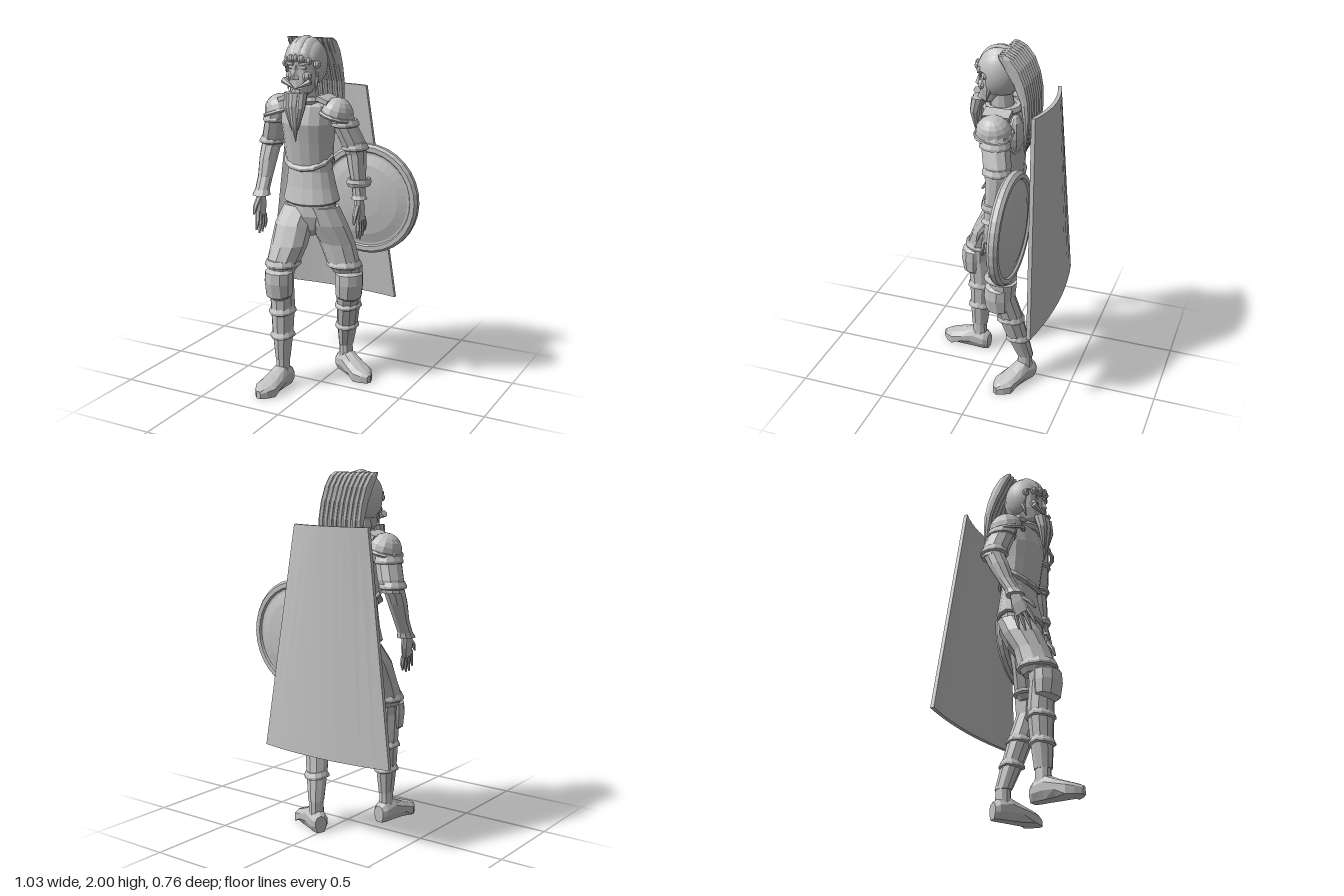
import * as THREE from 'three';

const grey = new THREE.MeshStandardMaterial({ color: 0xc0c0c0, flatShading: true });
grey.name = 'plain grey';
const CX = -0.1; // body centre line

// Solid from elliptical rings [x, y, z, rx, rz, dip], listed top to bottom
function loftGeo(rings, n = 12) {
  const pos = [], idx = [];
  for (const [x, y, z, rx, rz, dip = 0] of rings)
    for (let j = 0; j < n; j++) {
      const a = (j / n) * Math.PI * 2;
      pos.push(x + rx * Math.sin(a), y - dip * Math.abs(Math.cos(a)), z + rz * Math.cos(a));
    }
  const last = (rings.length - 1) * n, c = rings.length * n;
  for (const [x, y, z, , , dip = 0] of [rings[0], rings[rings.length - 1]]) pos.push(x, y - dip / 2, z);
  for (let j = 0; j < n; j++) {
    const k = (j + 1) % n;
    for (let i = 0; i < last; i += n)
      idx.push(i + j, i + n + j, i + n + k, i + j, i + n + k, i + k);
    idx.push(c, j, k, c + 1, last + k, last + j);
  }
  const g = new THREE.BufferGeometry();
  g.setAttribute('position', new THREE.Float32BufferAttribute(pos, 3));
  g.setIndex(idx);
  g.computeVertexNormals();
  return g;
}

export function createModel() {
  const model = new THREE.Group();
  const add = (name, geo, parent = model, p = [0, 0, 0], r = [0, 0, 0], s = [1, 1, 1]) => {
    const m = new THREE.Mesh(geo, grey);
    m.name = name;
    m.position.set(...p);
    m.rotation.set(...r);
    m.scale.set(...s);
    parent.add(m);
    return m;
  };
  const loft = (name, rings, n, parent) => add(name, loftGeo(rings, n), parent);
  // Flared band around a limb
  const band = (name, x, y, z, rx, rz, h = 0.03, dip = 0) => loft(name, [
    [x, y + h, z, rx - 0.012, rz - 0.012, dip], [x, y + 0.006, z, rx, rz, dip],
    [x, y - 0.006, z, rx, rz, dip], [x, y - 0.012, z, rx - 0.012, rz - 0.012, dip]], 12);

  // Torso
  loft('tunic', [[CX, 1.4, -0.05, 0.13, 0.1], [-0.095, 1.25, -0.055, 0.135, 0.09],
    [-0.09, 1.16, -0.055, 0.15, 0.105], [-0.085, 1.09, -0.05, 0.17, 0.12, 0.02],
    [-0.085, 1.08, -0.05, 0.16, 0.11, 0.02]], 16);
  loft('breastplate', [[CX, 1.67, -0.04, 0.09, 0.07], [CX, 1.62, -0.04, 0.16, 0.1],
    [CX, 1.52, -0.04, 0.158, 0.126], [CX, 1.42, -0.045, 0.148, 0.115], [CX, 1.34, -0.05, 0.143, 0.1, 0.06]], 16);
  band('breastplateRim', CX, 1.335, -0.05, 0.154, 0.112, 0.025, 0.07);
  loft('pelvis', [[-0.09, 1.12, -0.05, 0.145, 0.1], [-0.085, 1.0, -0.05, 0.155, 0.11],
    [-0.08, 0.92, -0.045, 0.09, 0.085], [-0.08, 0.88, -0.04, 0.04, 0.05]]);
  add('collar', new THREE.TorusGeometry(0.085, 0.025, 6, 14), model, [CX, 1.65, -0.03], [Math.PI / 2, 0, 0]);

  // Head and face
  loft('neck', [[CX, 1.76, -0.02, 0.06, 0.06], [CX, 1.62, -0.035, 0.07, 0.065]]);
  loft('head', [[CX, 1.95, -0.01, 0.07, 0.08], [CX, 1.88, -0.01, 0.093, 0.108], [CX, 1.82, -0.01, 0.092, 0.105],
    [CX, 1.76, 0.01, 0.082, 0.09], [CX, 1.7, 0.035, 0.058, 0.065], [CX, 1.68, 0.045, 0.035, 0.04]], 14);
  add('nose', new THREE.ConeGeometry(0.022, 0.085, 4), model, [CX, 1.81, 0.1], [-0.12, 0, 0]);
  for (const s of [-1, 1]) {
    add('brow', new THREE.BoxGeometry(0.055, 0.014, 0.02), model, [CX + s * 0.042, 1.855, 0.088], [0, s * 0.3, s * 0.1]);
    add('eye', new THREE.SphereGeometry(0.014, 8, 6), model, [CX + s * 0.04, 1.833, 0.083], [0, 0, 0], [1.3, 0.7, 0.6]);
    add('cheekbone', new THREE.SphereGeometry(0.028, 8, 6), model, [CX + s * 0.05, 1.785, 0.068]);
    add('ear', new THREE.SphereGeometry(0.03, 8, 6), model, [CX + s * 0.095, 1.82, -0.02], [0, 0, 0], [0.5, 1.2, 0.8]);
    add('sideburn', new THREE.ConeGeometry(0.025, 0.15, 6), model, [CX + s * 0.085, 1.765, 0.02], [Math.PI - 0.25, 0, 0]);
    add('moustache', new THREE.ConeGeometry(0.02, 0.1, 6), model, [CX + s * 0.04, 1.74, 0.1], [0, s * 0.3, s * (Math.PI / 2 + 0.45)]);
    loft('sideBeard', [[CX + s * 0.04, 1.7, 0.1, 0.028, 0.035], [CX + s * 0.038, 1.62, 0.118, 0.026, 0.028],
      [CX + s * 0.02, 1.52, 0.115, 0.01, 0.012], [CX + s * 0.016, 1.49, 0.113, 0.002, 0.002]], 8);
  }
  loft('lowerLip', [[CX, 1.718, 0.085, 0.03, 0.025], [CX, 1.69, 0.085, 0.04, 0.03]], 8);
  loft('centreBeard', [[CX, 1.7, 0.1, 0.036, 0.04], [CX, 1.63, 0.12, 0.032, 0.03],
    [CX, 1.52, 0.115, 0.02, 0.018], [CX, 1.43, 0.105, 0.002, 0.002]], 8);

  // Ribbed hair cap, ribs running front to back
  const cap = new THREE.SphereGeometry(1, 28, 30).rotateZ(Math.PI / 2);
  const cp = cap.attributes.position;
  for (let i = 0; i < cp.count; i++) {
    const x = cp.getX(i), k = 0.95 + 0.05 * Math.abs(Math.cos(x * Math.PI * 2.5));
    const z = cp.getZ(i) * k * 0.125 - 0.015;
    cp.setXYZ(i, x * 0.118, Math.max(cp.getY(i) * k * 0.148, z > 0.035 ? 0.018 : -0.11), z);
  }
  cap.computeVertexNormals();
  add('hairCap', cap, model, [CX, 1.852, 0]);
  for (let i = -3; i <= 3; i++)
    add('hairCurl', new THREE.SphereGeometry(0.021, 8, 6), model,
      [CX + i * 0.032, 1.885 - 0.004 * i * i, 0.105 - 0.0075 * i * i]);

  // Long swept-back locks
  for (let i = -4; i <= 4; i++) {
    const x = CX + i * 0.031, w = 0.0185;
    loft('hairLock', [[x, 1.985, -0.062, w * 0.8, 0.018], [x, 1.965, -0.085, w, 0.04], [x, 1.91, -0.125, w, 0.045],
      [x, 1.83, -0.165, w, 0.036], [x, 1.74, -0.193, w, 0.026], [x, 1.64, -0.202, w, 0.018],
      [x, 1.47, -0.197, w * 0.8, 0.006]], 8);
  }

  // Shoulders
  for (const s of [-1, 1]) {
    const x = CX + s * 0.175;
    add('pauldron', new THREE.SphereGeometry(1, 12, 6, 0, Math.PI * 2, 0, Math.PI * 0.55), model,
      [x, 1.575, -0.04], [0, 0, -s * 0.3], [0.09, 0.095, 0.1]);
    add('pauldronRim', new THREE.TorusGeometry(0.094, 0.012, 6, 14), model,
      [x, 1.57, -0.04], [Math.PI / 2, -s * 0.3, 0], [0.97, 1.05, 1]);
    add('pauldronCollar', new THREE.BoxGeometry(0.07, 0.025, 0.15), model, [CX + s * 0.12, 1.655, -0.04], [0, 0, -s * 0.35]);
    add('backPlate', new THREE.SphereGeometry(0.075, 10, 8), model, [CX + s * 0.07, 1.53, -0.125], [0, 0, 0], [1, 1.5, 0.6]);
  }

  // Arms
  loft('rightUpperArm', [[-0.28, 1.63, -0.04, 0.06, 0.075], [-0.305, 1.53, -0.05, 0.068, 0.08],
    [-0.335, 1.43, -0.07, 0.07, 0.078], [-0.355, 1.36, -0.075, 0.058, 0.065]], 10);
  band('rightElbowBand', -0.35, 1.39, -0.072, 0.074, 0.08);
  band('rightSleeveBand', -0.31, 1.52, -0.053, 0.076, 0.087);
  loft('rightForearm', [[-0.355, 1.38, -0.07, 0.057, 0.062], [-0.357, 1.3, -0.035, 0.052, 0.06],
    [-0.353, 1.2, 0.01, 0.043, 0.046], [-0.35, 1.13, 0.05, 0.042, 0.044], [-0.348, 1.1, 0.065, 0.052, 0.055]], 10);
  loft('leftUpperArm', [[0.08, 1.63, -0.04, 0.06, 0.075], [0.11, 1.53, -0.06, 0.068, 0.08],
    [0.15, 1.43, -0.085, 0.07, 0.08], [0.17, 1.36, -0.09, 0.058, 0.068]], 10);
  band('leftElbowBand', 0.165, 1.39, -0.088, 0.074, 0.08);
  band('leftSleeveBand', 0.118, 1.52, -0.062, 0.076, 0.087);
  loft('leftForearm', [[0.17, 1.38, -0.09, 0.057, 0.062], [0.18, 1.3, -0.085, 0.052, 0.058],
    [0.195, 1.2, -0.075, 0.04, 0.045], [0.203, 1.13, -0.068, 0.036, 0.04], [0.206, 1.11, -0.066, 0.045, 0.05]], 10);

  // Hands: palm, four fingers and a forward thumb
  function hand(name, p, r) {
    const g = new THREE.Group();
    g.name = name;
    g.position.set(...p);
    g.rotation.set(...r);
    model.add(g);
    loft('palm', [[0, 0.02, 0, 0.024, 0.028], [0, -0.05, 0, 0.024, 0.045], [0, -0.115, 0, 0.017, 0.044]], 8, g);
    for (let i = 0; i < 4; i++) {
      const z = (i - 1.5) * 0.024, len = [0.085, 0.11, 0.12, 0.105][i];
      loft('finger', [[0, -0.1, z, 0.014, 0.013], [0.004, -0.1 - len * 0.55, z * 1.25, 0.012, 0.011],
        [0, -0.1 - len, z * 1.35, 0.005, 0.005]], 6, g);
    }
    loft('thumb', [[0, -0.02, 0.025, 0.016, 0.018], [0, -0.07, 0.062, 0.014, 0.014], [0, -0.12, 0.08, 0.006, 0.006]], 6, g);
  }
  hand('rightHand', [-0.35, 1.1, 0.065], [-0.3, 0, 0.15]);
  hand('leftHand', [0.205, 1.1, -0.065], [0.03, 0, 0.05]);

  // Legs: breeches, knee cup, banded greave, ankle
  function leg(side, thigh, knee, shin, ankle, yaw) {
    loft(side + 'Breeches', thigh, 10);
    const t = thigh[thigh.length - 2];
    band(side + 'BreechesHem', t[0], t[1], t[2], t[3] + 0.008, t[4] + 0.008, 0.03);
    loft(side + 'Greave', [[knee[0], knee[1] + 0.1, knee[2] - 0.02, 0.075, 0.08], [knee[0], knee[1], knee[2] - 0.02, 0.07, 0.07],
      [...shin, 0.07, 0.073], [(shin[0] + ankle[0]) / 2, 0.32, (shin[2] + ankle[2]) / 2, 0.06, 0.063], [ankle[0], 0.17, ankle[2], 0.042, 0.05]], 10);
    const cup = loft(side + 'KneeCup', [[0, 0.075, 0, 0.066, 0.06], [0, 0.06, 0.01, 0.083, 0.075], [0, 0, 0.012, 0.085, 0.078],
      [0, -0.07, 0.01, 0.08, 0.065, 0.015], [0, -0.085, 0, 0.06, 0.045, 0.02]], 10);
    cup.position.set(...knee);
    cup.rotation.y = yaw;
    for (const f of [0.1, 0.55])
      band(side + 'GreaveBand', shin[0] + (ankle[0] - shin[0]) * f, shin[1] + (0.17 - shin[1]) * f,
        shin[2] + (ankle[2] - shin[2]) * f, 0.08 - f * 0.018, 0.083 - f * 0.018, 0.03, 0.012);
    loft(side + 'Ankle', [[ankle[0], 0.18, ankle[2], 0.038, 0.042], [ankle[0], 0.07, ankle[2], 0.042, 0.048]], 10);
    // Boot with flat sole, lofted heel to toe
    const geo = loftGeo([[0, 0.065, 0.05, 0.035, 0.045], [0, 0.04, 0.055, 0.052, 0.06], [0, -0.03, 0.065, 0.056, 0.07],
      [0, -0.1, 0.05, 0.066, 0.052], [0, -0.17, 0.035, 0.07, 0.04], [0, -0.21, 0.03, 0.045, 0.03], [0, -0.24, 0.025, 0.014, 0.02]], 10);
    const q = geo.attributes.position;
    for (let i = 0; i < q.count; i++) if (q.getZ(i) < 0.03) q.setZ(i, 0);
    geo.rotateX(-Math.PI / 2);
    geo.computeVertexNormals();
    add(side + 'Boot', geo, model, [ankle[0], 0, ankle[2]], [0, yaw, 0]);
  }
  leg('right', [[-0.15, 1.05, -0.05, 0.1, 0.1], [-0.165, 0.95, 0.01, 0.11, 0.11], [-0.165, 0.84, 0.07, 0.108, 0.1],
    [-0.185, 0.73, 0.108, 0.092, 0.108], [-0.185, 0.69, 0.11, 0.07, 0.08]],
  [-0.18, 0.635, 0.155], [-0.18, 0.49, 0.125], [-0.175, 0.16, 0.137], -0.1);
  leg('left', [[-0.02, 1.05, -0.05, 0.1, 0.1], [0.015, 0.95, -0.06, 0.115, 0.1], [0.06, 0.84, -0.08, 0.11, 0.083],
    [0.1, 0.71, -0.09, 0.098, 0.085], [0.105, 0.67, -0.09, 0.07, 0.065]],
  [0.125, 0.6, -0.095], [0.105, 0.48, -0.145], [0.05, 0.16, -0.228], 1.05);

  // Round shield on the left arm
  const half = [[0, 0.05], [0.1, 0.046], [0.2, 0.034], [0.255, 0.018], [0.268, 0.018], [0.275, 0.03], [0.3, 0.03], [0.314, 0.013]];
  const profile = [...half.map(([r, h]) => new THREE.Vector2(r, -h)),
    ...half.slice().reverse().map(([r, h]) => new THREE.Vector2(r, h))];
  add('shield', new THREE.LatheGeometry(profile, 32), model, [0.2, 1.088, -0.177], [Math.PI / 2, 0, 0]);
  add('shieldStrap', new THREE.TorusGeometry(0.055, 0.012, 6, 12), model, [0.19, 1.2, -0.09], [Math.PI / 2, 0, 0], [1, 1.2, 2]);

  // Curved cape slab, widening downwards
  const cape = new THREE.BoxGeometry(1, 1, 1, 10, 1, 1), v = cape.attributes.position;
  for (let i = 0; i < v.count; i++) {
    const u = v.getX(i) * 2, top = v.getY(i) > 0, front = v.getZ(i) > 0;
    const z = (top ? -0.307 : -0.358) + 0.042 * u * u - (front ? 0 : 0.022);
    v.setXYZ(i, -0.098 + u * (top ? 0.242 : 0.418), top ? 1.712 : 0.475, z);
  }
  cape.computeVertexNormals();
  add('cape', cape);
  return model;
}
